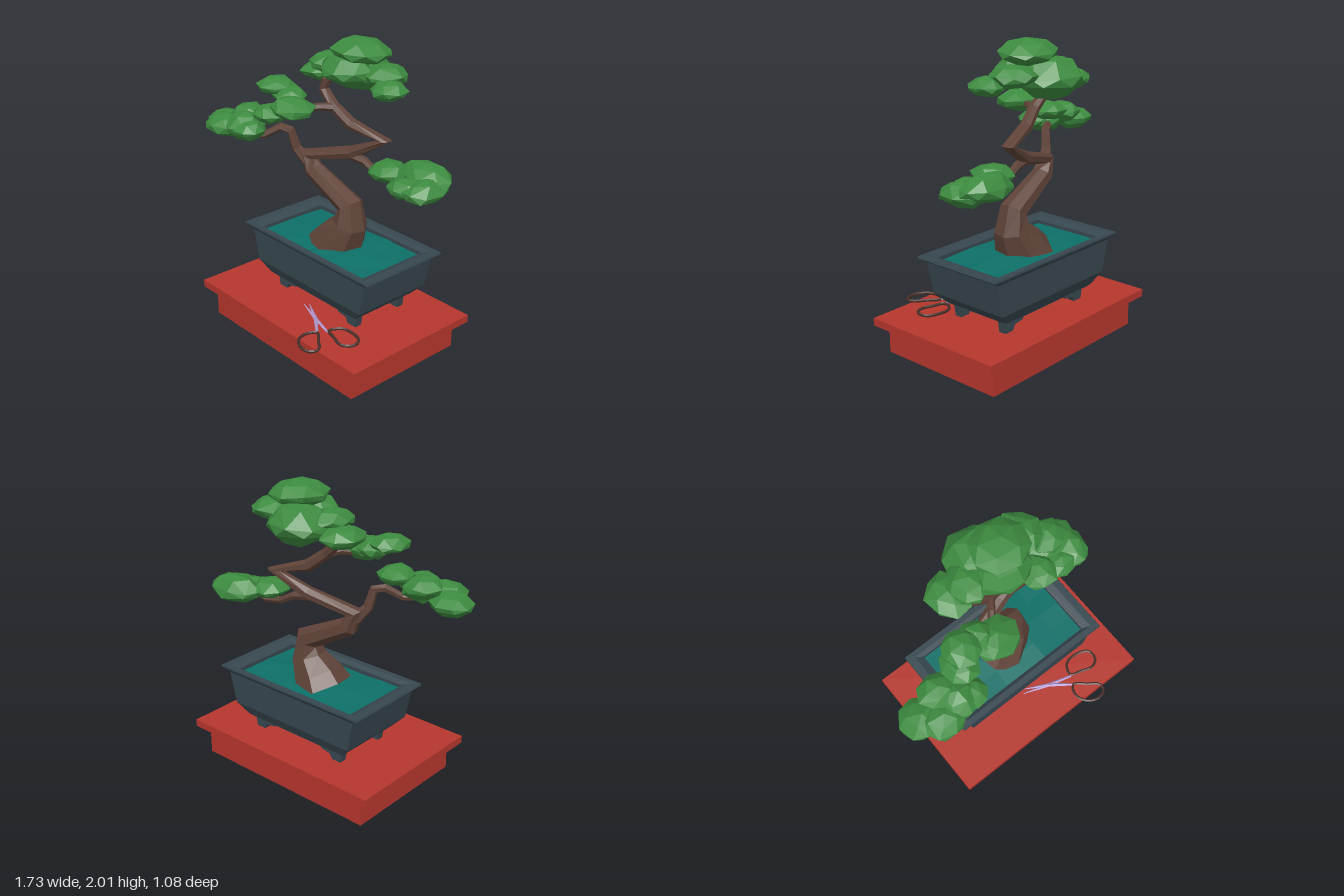
import * as THREE from 'three';
import { ConvexGeometry } from 'three/addons/geometries/ConvexGeometry.js';

const V = (x, y, z) => new THREE.Vector3(x, y, z);
const material = (color, side = THREE.FrontSide) =>
  new THREE.MeshStandardMaterial({ color, flatShading: true, side });
const red = material(0xb5362d), slate = material(0x37474f), teal = material(0x0d7068, THREE.DoubleSide);
const bark = material(0x5f4338), leaf = material(0x3d8b40);
const steel = material(0xb79bd2), grip = material(0x4a3029);

let seed = 11;
const random = () => (seed = (seed * 16807) % 2147483647) / 2147483647;

function add(parent, name, geometry, mat) {
  const mesh = new THREE.Mesh(geometry, mat);
  mesh.name = name;
  parent.add(mesh);
  return mesh;
}

function group(parent, name) {
  const g = new THREE.Group();
  g.name = name;
  parent.add(g);
  return g;
}

// Skin a list of equal-sized rings and cap both ends
function loft(rings) {
  const n = rings[0].length, index = [];
  for (let i = 0; i < rings.length - 1; i++) {
    for (let j = 0; j < n; j++) {
      const a = i * n + j, b = i * n + (j + 1) % n;
      index.push(a, b, b + n, a, b + n, a + n);
    }
  }
  const last = (rings.length - 1) * n;
  for (let j = 1; j < n - 1; j++) index.push(0, j + 1, j, last, last + j, last + j + 1);
  const g = new THREE.BufferGeometry().setFromPoints(rings.flat());
  g.setIndex(index);
  g.computeVertexNormals();
  return g;
}

// Stack of rectangles about one centre: [half width, half depth, y]
const rectStack = (cx, cz, steps) => loft(steps.map(([w, d, y]) =>
  [V(cx + w, y, cz + d), V(cx + w, y, cz - d), V(cx - w, y, cz - d), V(cx - w, y, cz + d)]));

// Tapering faceted limb along [x, y, z, radius] stations
function limb(stations, sides = 6) {
  const pts = stations.map(s => V(s[0], s[1], s[2]));
  const dir = i => pts[i + 1].clone().sub(pts[i]).normalize();
  const side = V(0, 0, 1);
  return loft(pts.map((p, i) => {
    const t = i === 0 ? dir(0) : i === pts.length - 1 ? dir(i - 1) : dir(i - 1).add(dir(i)).normalize();
    side.addScaledVector(t, -side.dot(t)).normalize();
    const up = t.clone().cross(side);
    return Array.from({ length: sides }, (_, j) => {
      const a = (j / sides) * Math.PI * 2, r = stations[i][3];
      return p.clone().addScaledVector(side, Math.cos(a) * r).addScaledVector(up, Math.sin(a) * r);
    });
  }));
}

// Chunky leaf pad: convex hull of jittered rings, widest just above its base
function leafPad([x, y, z, rx, ry, rz]) {
  const points = [V(x + rx * 0.1, y + ry, z)];
  for (const [r, h, n] of [[0.62, 0.72, 5], [1, 0, 8], [0.94, -0.45, 7], [0.55, -1, 5]]) {
    const turn = random() * 6;
    for (let i = 0; i < n; i++) {
      const a = turn + (i / n) * Math.PI * 2, k = r * (0.9 + random() * 0.16);
      points.push(V(x + Math.cos(a) * k * rx, y + (h + (random() - 0.5) * 0.24) * ry, z + Math.sin(a) * k * rz));
    }
  }
  return new ConvexGeometry(points);
}

export function createModel() {
  const model = new THREE.Group();
  model.name = 'bonsai';

  // Stand
  add(model, 'stand', rectStack(0.105, -0.04, [
    [0.675, 0.45, 0], [0.675, 0.45, 0.175], [0.69, 0.46, 0.175],
    [0.755, 0.505, 0.195], [0.755, 0.505, 0.245]]), red);

  // Pot: outer wall, rim, then down the inside
  const pot = group(model, 'pot');
  add(pot, 'bowl', rectStack(0.108, -0.108, [
    [0.4, 0.24, 0.325], [0.4, 0.24, 0.335], [0.415, 0.25, 0.335], [0.492, 0.29, 0.415],
    [0.537, 0.297, 0.63], [0.55, 0.305, 0.64], [0.59, 0.327, 0.665], [0.585, 0.325, 0.677],
    [0.535, 0.285, 0.677], [0.482, 0.258, 0.655], [0.482, 0.258, 0.58]]), slate);

  const foot = new THREE.Shape([[0, 0], [0.07, 0], [0.09, 0.035], [0.16, 0.045], [0.185, 0.09], [-0.015, 0.09]]
    .map(p => new THREE.Vector2(...p)));
  for (const sx of [-1, 1]) {
    for (const z of [0.055, -0.32]) {
      const geo = new THREE.ExtrudeGeometry(foot, { depth: 0.05, bevelEnabled: false });
      if (sx > 0) geo.rotateY(Math.PI).translate(0, 0, 0.05);
      geo.translate(0.115 + sx * 0.372, 0.245, z);
      add(pot, 'foot', geo, slate);
    }
  }

  // Soil, slightly mounded towards the trunk
  const soil = new THREE.PlaneGeometry(0.966, 0.518, 6, 4).rotateX(-Math.PI / 2);
  const sp = soil.attributes.position;
  for (let i = 0; i < sp.count; i++) {
    const k = Math.max(0, 1 - Math.hypot(sp.getX(i) / 0.48, sp.getZ(i) / 0.26));
    sp.setY(i, 0.03 * k + 0.012 * random());
  }
  soil.translate(0.108, 0.625, -0.108);
  add(model, 'soil', soil, teal);

  // Trunk and branches
  const wood = group(model, 'wood');
  add(wood, 'trunk', limb([
    [0.08, 0.6, -0.11, 0.2], [0.12, 0.68, -0.11, 0.165], [0.195, 0.8, -0.115, 0.115],
    [0.185, 0.925, -0.12, 0.088], [-0.13, 1.085, -0.09, 0.067], [-0.17, 1.18, -0.08, 0.055],
    [0.14, 1.26, -0.17, 0.045], [0.365, 1.385, -0.24, 0.044], [0.13, 1.45, -0.17, 0.042],
    [0.01, 1.545, -0.135, 0.038], [-0.09, 1.635, -0.14, 0.034], [-0.07, 1.7, -0.14, 0.03],
    [0.04, 1.76, -0.2, 0.025]], 7), bark);
  const branches = {
    leftBranch: [[0.3, 1.13, -0.22, 0]],
  };
  branches.leftBranch = [[-0.17, 1.14, -0.07, 0.045], [-0.235, 1.22, -0.03, 0.034], [-0.26, 1.34, -0.005, 0.03],
    [-0.32, 1.355, 0.03, 0.028], [-0.4, 1.295, 0.1, 0.024], [-0.5, 1.29, 0.18, 0.02], [-0.58, 1.32, 0.19, 0.015]];
  branches.rightBranch = [[0.1, 1.25, -0.16, 0.035], [0.24, 1.225, -0.19, 0.028], [0.35, 1.165, -0.2, 0.024],
    [0.46, 1.15, -0.22, 0.02], [0.56, 1.18, -0.24, 0.014]];
  branches.middleBranch = [[0.02, 1.54, -0.13, 0.03], [-0.03, 1.55, -0.05, 0.025], [-0.09, 1.535, 0.02, 0.022],
    [-0.19, 1.57, 0.06, 0.018]];
  branches.topBranch = [[-0.08, 1.67, -0.14, 0.026], [-0.13, 1.71, -0.2, 0.02], [-0.18, 1.74, -0.23, 0.014]];
  for (const [name, stations] of Object.entries(branches)) add(wood, name, limb(stations), bark);

  // Foliage pads: x, y, z, half sizes
  const clusters = {
    leftFoliage: [[-0.73, 1.33, 0.15, 0.135, 0.07, 0.14], [-0.63, 1.35, 0.24, 0.15, 0.07, 0.13],
      [-0.49, 1.37, 0.19, 0.14, 0.09, 0.14], [-0.56, 1.41, 0.1, 0.13, 0.065, 0.12],
      [-0.37, 1.45, 0.07, 0.12, 0.06, 0.13], [-0.4, 1.36, 0.22, 0.1, 0.06, 0.11]],
    middleFoliage: [[-0.12, 1.56, 0.1, 0.16, 0.07, 0.14], [-0.33, 1.645, 0.05, 0.125, 0.055, 0.13],
      [-0.22, 1.6, 0.03, 0.12, 0.06, 0.11]],
    rightFoliage: [[0.64, 1.22, -0.32, 0.2, 0.085, 0.13], [0.73, 1.18, -0.22, 0.12, 0.075, 0.17],
      [0.45, 1.23, -0.19, 0.13, 0.06, 0.14], [0.62, 1.18, -0.16, 0.13, 0.06, 0.11]],
    topFoliage: [[0.16, 1.93, -0.22, 0.2, 0.075, 0.19], [0.07, 1.78, -0.31, 0.22, 0.12, 0.19],
      [0.12, 1.82, -0.13, 0.19, 0.09, 0.15], [-0.2, 1.73, -0.23, 0.14, 0.06, 0.16],
      [-0.09, 1.81, -0.19, 0.13, 0.06, 0.15], [0.34, 1.81, -0.25, 0.15, 0.065, 0.15],
      [0.46, 1.755, -0.16, 0.12, 0.06, 0.12]],
  };
  for (const [name, pads] of Object.entries(clusters)) {
    const g = group(model, name);
    for (const pad of pads) add(g, 'leafPad', leafPad(pad), leaf);
  }

  // Shears lying on the stand: two crossed blades with looped grips
  const shears = group(model, 'shears');
  const y = 0.257;
  const blades = [[[0.07, 0.17], [0.25, 0.232], [0.42, 0.28]], [[0.1, 0.15], [0.25, 0.232], [0.39, 0.34]]];
  blades.forEach((path, i) => add(shears, 'blade', limb(path.map(([x, z], j) =>
    [x, y - 0.004 + i * 0.004, z, [0.003, 0.013, 0.008][j]]), 4), steel));
  const grips = [
    [[0.42, 0.27], [0.5, 0.3], [0.585, 0.325], [0.64, 0.29], [0.64, 0.22], [0.56, 0.18], [0.46, 0.19]],
    [[0.39, 0.34], [0.355, 0.39], [0.36, 0.45], [0.41, 0.51], [0.475, 0.53], [0.53, 0.51], [0.54, 0.46], [0.47, 0.4]]];
  for (const pts of grips) {
    const curve = new THREE.CatmullRomCurve3(pts.map(([x, z]) => V(x, y + 0.001, z)), true);
    add(shears, 'grip', new THREE.TubeGeometry(curve, 20, 0.01, 5, true), grip);
  }
  return model;
}
